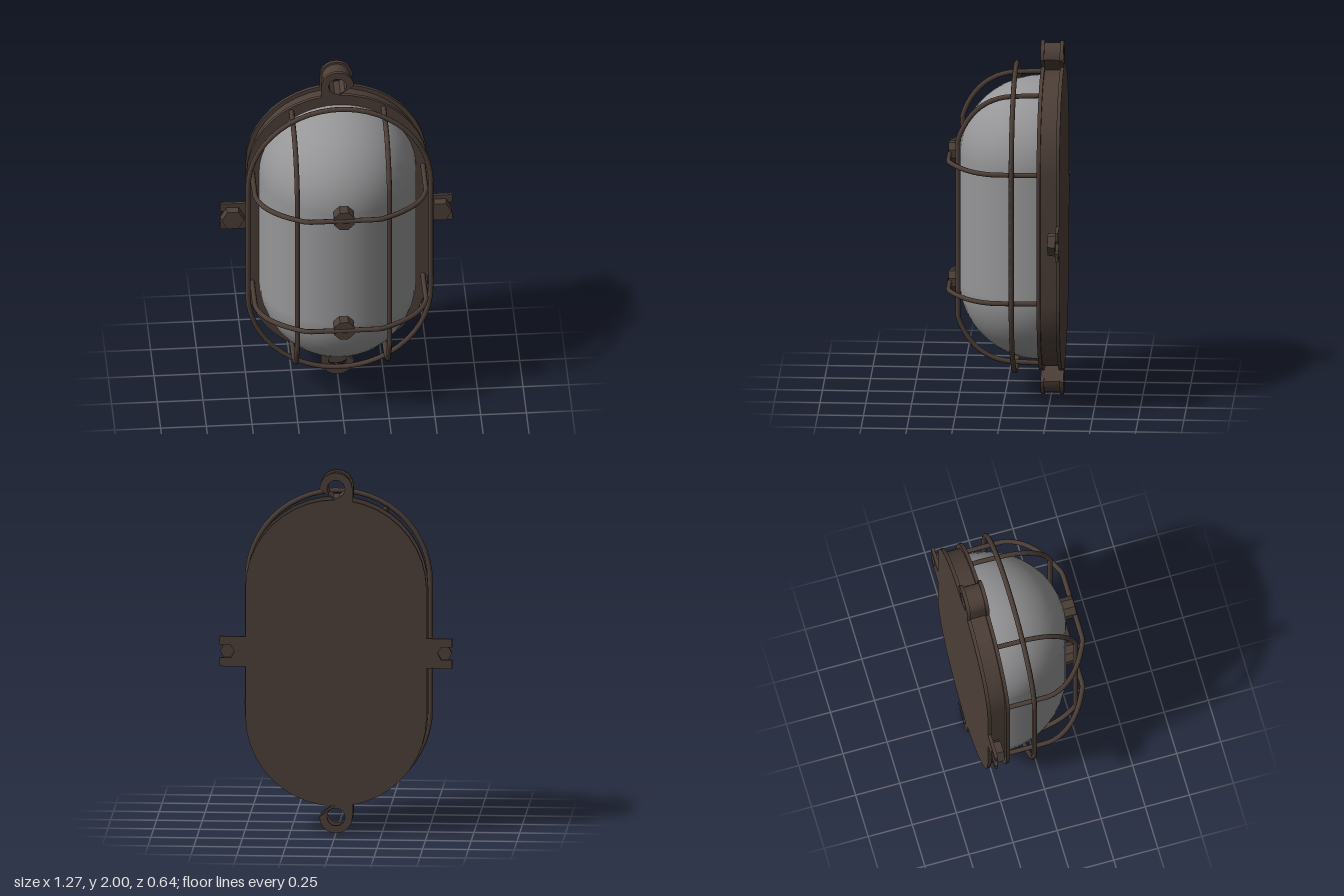
import * as THREE from 'three';
import { toCreasedNormals } from 'three/addons/utils/BufferGeometryUtils.js';

const bronze = new THREE.MeshStandardMaterial({ color: 0x4c3e37 });
bronze.name = 'dark bronze';
const frosted = new THREE.MeshStandardMaterial({ color: 0x969698 });
frosted.name = 'frosted glass';

const MID = 1;       // height of the lamp's centre
const STRAIGHT = 0.355; // half length of the straight sides
const WIRE = 0.014;
const V = (x, y, z) => new THREE.Vector3(x, y, z);

export function createModel() {
  const model = new THREE.Group();
  model.name = 'bulkheadLamp';

  const add = (name, geometry, material = bronze, parent = model) => {
    const mesh = new THREE.Mesh(geometry, material);
    mesh.name = name;
    parent.add(mesh);
    return mesh;
  };

  // Extrude a shape between two depths, with rounded walls kept smooth
  const slab = (shape, z0, z1, segments = 10) => {
    const g = new THREE.ExtrudeGeometry(shape, { depth: z1 - z0, bevelEnabled: false, curveSegments: segments });
    g.translate(0, 0, z0);
    return toCreasedNormals(g, 0.5);
  };

  // Upright oval with straight sides
  const oval = (r) => {
    const s = new THREE.Shape();
    s.absarc(0, MID + STRAIGHT, r, 0, Math.PI);
    s.absarc(0, MID - STRAIGHT, r, Math.PI, Math.PI * 2);
    s.closePath();
    return s;
  };

  // Mounting ear with a round hole; side is 1 for top, -1 for bottom
  const ear = (r, side) => {
    const y = MID + side * 0.91;
    const s = new THREE.Shape();
    s.moveTo(r, MID + side * 0.78);
    s.absarc(0, y, r, 0, side * Math.PI, side < 0);
    s.lineTo(-r, MID + side * 0.78);
    s.closePath();
    const hole = new THREE.Path();
    hole.absarc(0, y, 0.05, 0, Math.PI * 2, true);
    s.holes.push(hole);
    return s;
  };

  // Housing: back plate, recessed body and front lip, each with its ears
  const layers = [
    ['backPlate', 0.495, 0.09, -0.32, -0.3],
    ['body', 0.472, 0.078, -0.3, -0.215],
    ['frontLip', 0.497, 0.09, -0.215, -0.195],
  ];
  for (const [name, r, earR, z0, z1] of layers) {
    add(name, slab(oval(r), z0, z1));
    add(name + 'TopEar', slab(ear(earR, 1), z0, z1, 5));
    add(name + 'BottomEar', slab(ear(earR, -1), z0, z1, 5));
  }

  // Glass: half of a capsule, its back pressed flat against the housing
  const glass = new THREE.CapsuleGeometry(0.43, 0.72, 12, 40);
  glass.scale(1, 1, 0.45 / 0.43);
  const p = glass.attributes.position;
  for (let i = 0; i < p.count; i++) p.setZ(i, Math.max(p.getZ(i), 0));
  glass.translate(0, MID, -0.2);
  add('glass', glass, frosted);

  // Guard wire: two legs, two bends and a straight front span.
  // at(u, z) places a point; u runs across the wire.
  const guardWire = (at, leg, bend, control, span) => {
    const path = new THREE.CurvePath();
    const pts = [leg, bend, control, span];
    const [a, b, c, d] = pts.map(([u, z]) => at(u, z));
    const [a2, b2, c2, d2] = pts.map(([u, z]) => at(-u, z));
    path.add(new THREE.LineCurve3(a, b));
    path.add(new THREE.QuadraticBezierCurve3(b, c, d));
    path.add(new THREE.LineCurve3(d, d2));
    path.add(new THREE.QuadraticBezierCurve3(d2, c2, b2));
    path.add(new THREE.LineCurve3(b2, a2));
    return new THREE.TubeGeometry(path, 56, WIRE, 8, false);
  };

  const guard = new THREE.Group();
  guard.name = 'wireGuard';
  model.add(guard);

  for (const side of [1, -1]) {
    const y = MID + side * 0.364;
    // Horizontal wire and the boss joining it to the glass
    add('crossWire', guardWire((u, z) => V(u, y, z),
      [0.467, -0.205], [0.467, 0.03], [0.446, 0.2], [0.2, 0.303]), bronze, guard);
    const boss = new THREE.CylinderGeometry(0.06, 0.06, 0.075, 8);
    boss.rotateY(Math.PI / 8).rotateX(Math.PI / 2).translate(0, y, 0.272);
    add('wireBoss', toCreasedNormals(boss, 0.5), bronze, guard);
    // Vertical wire
    add('uprightWire', guardWire((u, z) => V(side * 0.252, MID + u, z),
      [0.757, -0.205], [0.75, -0.04], [0.73, 0.17], [0.5, 0.247]), bronze, guard);
  }

  // Hoop around the glass
  const hoop = oval(0.5).getSpacedPoints(64).slice(0, -1).map((q) => V(q.x, q.y, -0.057));
  add('guardHoop', new THREE.TubeGeometry(new THREE.CatmullRomCurve3(hoop, true), 72, WIRE, 8, true), bronze, guard);

  // Slotted side tabs with hexagonal bolts
  for (const side of [1, -1]) {
    const tab = new THREE.Shape([
      [0.44, -0.083], [0.635, -0.083], [0.635, -0.035], [0.575, -0.035], [0.555, 0],
      [0.575, 0.035], [0.635, 0.035], [0.635, 0.083], [0.44, 0.083],
    ].map(([x, y]) => new THREE.Vector2(side * x, MID + 0.003 + y)));
    add('sideTab', slab(tab, -0.32, -0.302));
    const bolt = new THREE.CylinderGeometry(0.062, 0.067, 0.042, 6);
    bolt.rotateY(Math.PI / 6).rotateX(Math.PI / 2).translate(side * 0.567, MID + 0.003, -0.281);
    add('sideBolt', toCreasedNormals(bolt, 0.5));
  }

  return model;
}
